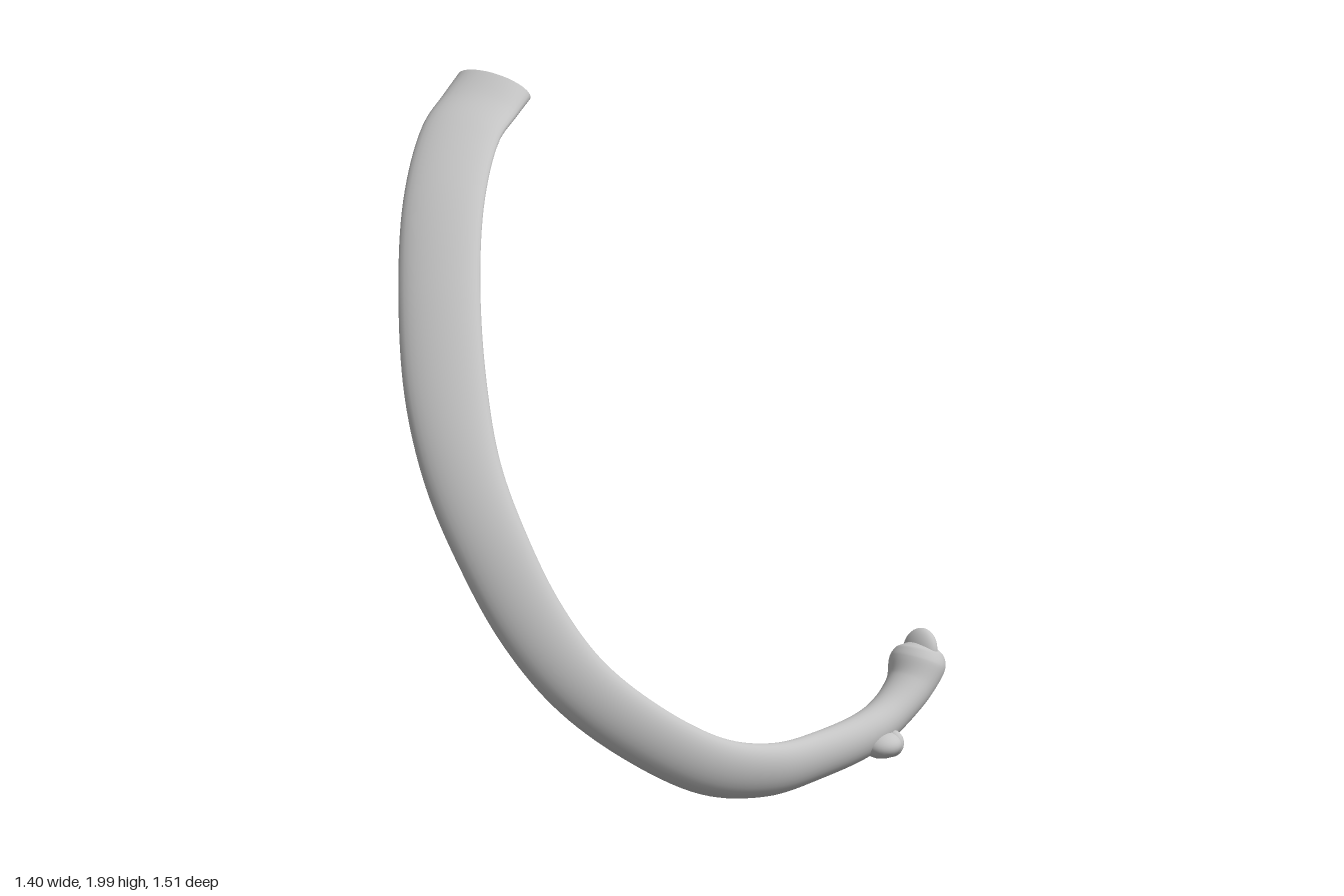
import * as THREE from 'three';

// Stations along the shaft, from the cut front end down and round to the head:
// centre x, y, z, half width, half thickness, twist in degrees
const STATIONS = [
  [0.205, 1.945, -0.64, 0.122, 0.053, 42],
  [0.12, 1.905, -0.625, 0.122, 0.041, 42],
  [0.0, 1.85, -0.597, 0.123, 0.036, 41],
  [-0.19, 1.70, -0.503, 0.124, 0.036, 40],
  [-0.36, 1.48, -0.378, 0.124, 0.038, 40],
  [-0.5, 1.22, -0.235, 0.125, 0.042, 40],
  [-0.58, 1.0, -0.1, 0.118, 0.045, 39],
  [-0.61, 0.8, 0.04, 0.112, 0.045, 39],
  [-0.595, 0.6, 0.172, 0.107, 0.046, 39],
  [-0.533, 0.42, 0.305, 0.101, 0.048, 39],
  [-0.4, 0.265, 0.437, 0.097, 0.049, 39],
  [-0.2, 0.135, 0.55, 0.093, 0.05, 40],
  [0.0, 0.092, 0.605, 0.086, 0.052, 42],
  [0.2, 0.098, 0.624, 0.076, 0.055, 46],
  [0.4, 0.132, 0.648, 0.068, 0.06, 54],
  [0.51, 0.178, 0.652, 0.06, 0.066, 60],
  [0.595, 0.24, 0.652, 0.062, 0.076, 60],
  [0.638, 0.295, 0.645, 0.072, 0.088, 60],
  [0.655, 0.328, 0.642, 0.064, 0.074, 60],
  [0.664, 0.347, 0.64, 0.038, 0.042, 60],
];
const SIDES = 32;
const STEPS = 152;

function mesh(name, geometry, material) {
  const m = new THREE.Mesh(geometry, material);
  m.name = name;
  return m;
}

// One oval ring of points for every step along the path
function makeRings() {
  const path = new THREE.CatmullRomCurve3(STATIONS.map(s => new THREE.Vector3(s[0], s[1], s[2])));
  const size = new THREE.CatmullRomCurve3(
    STATIONS.map(s => new THREE.Vector3(s[3], s[4], s[5])), false, 'catmullrom', 0.5);
  const planeNormal = new THREE.Vector3(0, 0.53, 0.85).normalize();
  const rings = [];
  for (let i = 0; i <= STEPS; i++) {
    const u = i / STEPS;
    const c = path.getPoint(u), t = path.getTangent(u), s = size.getPoint(u);
    const n = planeNormal.clone().addScaledVector(t, -planeNormal.dot(t)).normalize();
    const inward = n.clone().cross(t);
    const a = THREE.MathUtils.degToRad(s.z);
    const wide = n.multiplyScalar(Math.cos(a)).addScaledVector(inward, Math.sin(a));
    const thick = t.clone().cross(wide);
    const ring = [];
    for (let j = 0; j < SIDES; j++) {
      const f = (j / SIDES) * Math.PI * 2;
      ring.push(c.clone()
        .addScaledVector(wide, Math.cos(f) * s.x)
        .addScaledVector(thick, Math.sin(f) * s.y));
    }
    rings.push(ring);
  }
  return rings;
}

function indexed(points, index) {
  const g = new THREE.BufferGeometry().setFromPoints(points);
  g.setIndex(index);
  g.computeVertexNormals();
  return g;
}

function centreOf(ring) {
  return ring.reduce((s, p) => s.add(p), new THREE.Vector3()).divideScalar(ring.length);
}

export function createModel() {
  const group = new THREE.Group();
  group.name = 'ribBone';
  const bone = new THREE.MeshStandardMaterial({ color: 0xc4c4c4 });
  bone.name = 'bone grey';

  // Shaft, neck and rounded head as one skin
  const rings = makeRings();
  const index = [];
  for (let i = 0; i < STEPS; i++) {
    for (let j = 0; j < SIDES; j++) {
      const k = (j + 1) % SIDES;
      const a = i * SIDES + j, b = i * SIDES + k;
      index.push(a, b, a + SIDES, b, b + SIDES, a + SIDES);
    }
  }
  const last = rings[STEPS];
  const tip = centreOf(last).add(new THREE.Vector3(0.003, 0.008, 0));
  const tipId = rings.length * SIDES;
  for (let j = 0; j < SIDES; j++) {
    index.push(tipId, STEPS * SIDES + j, STEPS * SIDES + (j + 1) % SIDES);
  }
  group.add(mesh('shaft', indexed([...rings.flat(), tip], index), bone));

  // Flat cut face at the front end
  const first = rings[0];
  const capIndex = [];
  for (let j = 0; j < SIDES; j++) capIndex.push(SIDES, (j + 1) % SIDES, j);
  group.add(mesh('endFace', indexed([...first, centreOf(first)], capIndex), bone));

  // Small knobs: the tubercle under the neck and the crest of the head
  const knob = (name, p, r, tilt) => {
    const m = mesh(name, new THREE.SphereGeometry(1, 24, 16), bone);
    m.position.set(...p);
    m.scale.set(...r);
    m.rotation.z = tilt;
    group.add(m);
  };
  knob('tubercle', [0.425, 0.097, 0.69], [0.06, 0.04, 0.06], 0.1);
  knob('tubercleFacet', [0.452, 0.098, 0.7], [0.027, 0.042, 0.045], -0.2);
  knob('headCrest', [0.648, 0.335, 0.648], [0.031, 0.067, 0.062], -0.25);
  return group;
}
